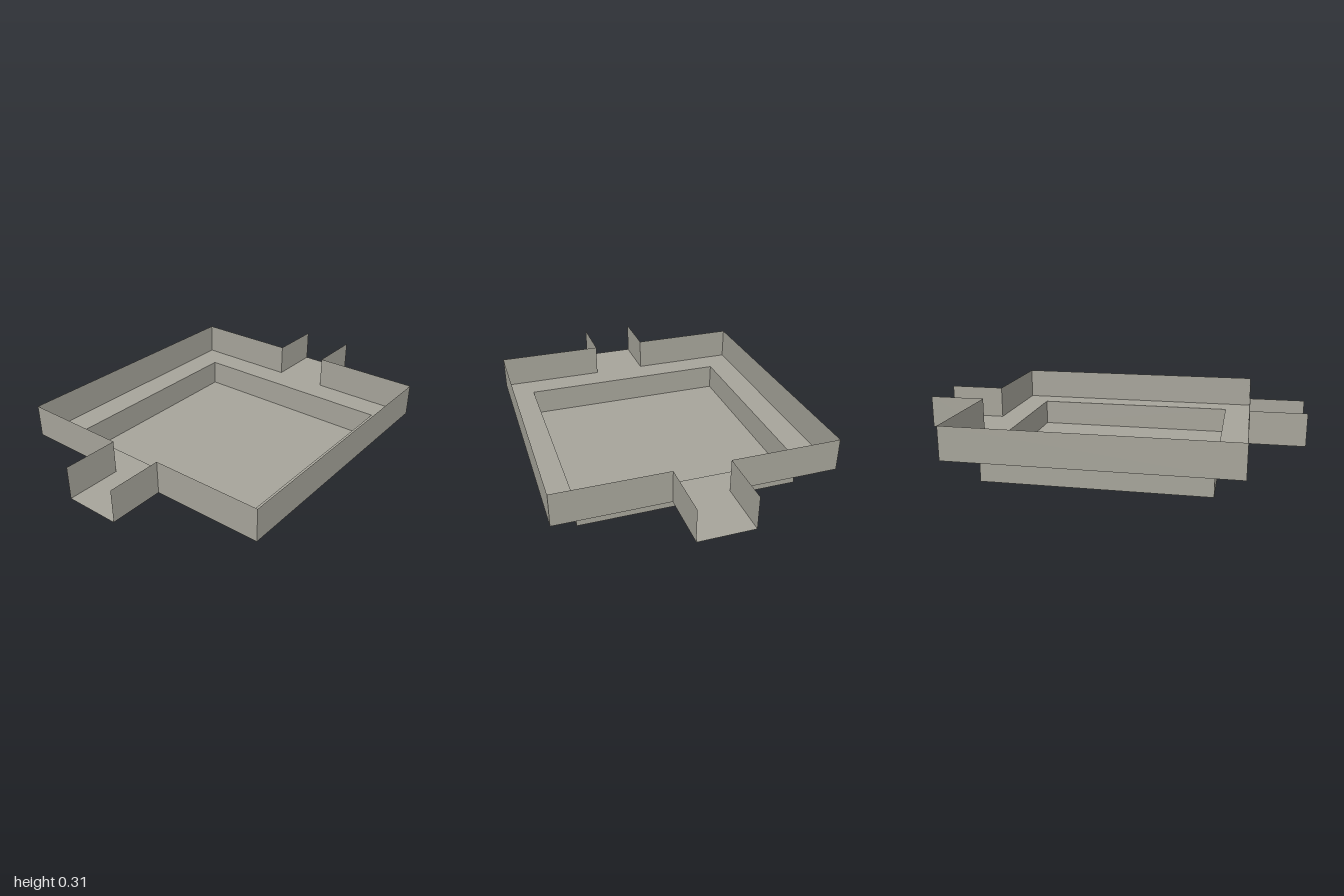
import * as THREE from 'three';
import { mergeGeometries } from 'three/addons/utils/BufferGeometryUtils.js';

const U = 2 / 14.1;              // layout module
const CX = -1 + 7 * U;           // centre of the square pool
const POOL = 5 * U;              // half width of the upper tray
const BASIN = 4 * U;             // half width of the sunken basin
const GAP = U;                   // half width of the side channels
const FLOOR = U, RIM = 2.2 * U;  // heights of the ledge and the rim

const concrete = new THREE.MeshStandardMaterial({ color: 0xa6a49a, side: THREE.DoubleSide });
concrete.name = 'grey concrete';

// Upright sheet following a line of [x, z] points
function wall(points, y0, y1) {
  const sheets = [];
  for (let i = 0; i + 1 < points.length; i++) {
    const [x0, z0] = points[i], [x1, z1] = points[i + 1];
    const g = new THREE.PlaneGeometry(Math.hypot(x1 - x0, z1 - z0), y1 - y0);
    g.rotateY(-Math.atan2(z1 - z0, x1 - x0));
    g.translate((x0 + x1) / 2, (y0 + y1) / 2, (z0 + z1) / 2);
    sheets.push(g);
  }
  return mergeGeometries(sheets);
}

// Corners of a square around the pool centre
const square = (h) => [[CX - h, -h], [CX + h, -h], [CX + h, h], [CX - h, h]];
const vectors = (pts) => pts.map(([x, z]) => new THREE.Vector2(x, -z));

// Horizontal sheet facing up
function sheet(outline, hole, y) {
  const shape = new THREE.Shape(vectors(outline));
  if (hole) shape.holes.push(new THREE.Path(vectors(hole)));
  return new THREE.ShapeGeometry(shape).rotateX(-Math.PI / 2).translate(0, y, 0);
}

export function createModel() {
  const group = new THREE.Group();
  const add = (name, geometry) => {
    const mesh = new THREE.Mesh(geometry, concrete);
    mesh.name = name;
    group.add(mesh);
  };

  // Half of the rim, from one channel mouth round to the other
  const rim = (s) => [
    [-1, s * GAP], [CX - POOL, s * GAP], [CX - POOL, s * POOL],
    [CX + POOL, s * POOL], [CX + POOL, s * GAP], [1, s * GAP],
  ];
  const basin = square(BASIN);

  // Sunken basin
  add('basinFloor', sheet(basin, null, 0));
  add('basinWalls', wall([...basin, basin[0]], 0, FLOOR));

  // Ledge around the basin, running out into both open-ended channels
  add('ledgeFloor', sheet([...rim(1), ...rim(-1).reverse()], basin, FLOOR));
  add('frontRim', wall(rim(1), FLOOR, RIM));
  add('backRim', wall(rim(-1), FLOOR, RIM));
  return group;
}
